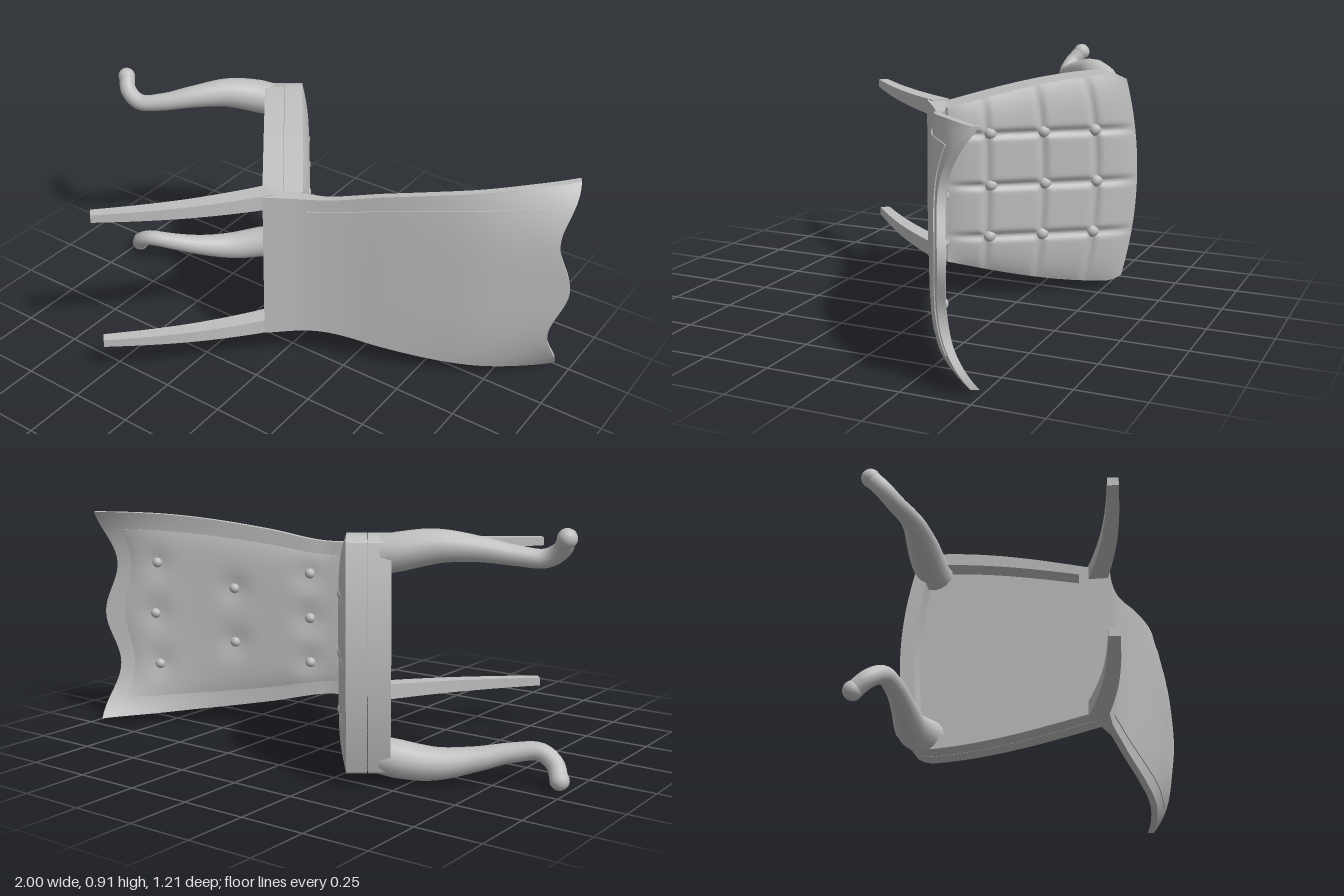
import * as THREE from 'three';

const MID = 0.453; // height of the chair's plane of symmetry (it lies on its side)
const V = (x, y, z) => new THREE.Vector3(x, y, z);
const curveXZ = pts => new THREE.CatmullRomCurve3(pts.map(([x, z]) => V(x, 0, z)));

// Moves a box's vertices by fn(p, q, r): p and q run 0..1, r runs -1..1
function warpedBox(nx, ny, nz, fn) {
  const g = new THREE.BoxGeometry(1, 1, 2, nx, ny, nz);
  const pos = g.attributes.position;
  for (let i = 0; i < pos.count; i++) {
    const v = fn(pos.getX(i) + 0.5, pos.getY(i) + 0.5, pos.getZ(i));
    pos.setXYZ(i, v.x, v.y, v.z);
  }
  g.computeVertexNormals();
  return g;
}

// Tube whose radius follows a list of values along the curve
function taperedTube(curve, radii, n = 40, sides = 16) {
  const g = new THREE.TubeGeometry(curve, n, 1, sides);
  const pos = g.attributes.position;
  for (let i = 0; i < pos.count; i++) {
    const u = Math.floor(i / (sides + 1)) / n;
    const c = curve.getPointAt(u);
    const k = u * (radii.length - 1), j = Math.min(Math.floor(k), radii.length - 2);
    const r = THREE.MathUtils.lerp(radii[j], radii[j + 1], k - j);
    const v = V(pos.getX(i), pos.getY(i), pos.getZ(i)).sub(c).multiplyScalar(r).add(c);
    pos.setXYZ(i, v.x, v.y, v.z);
  }
  return g;
}

// Seat space: t = height, a = 0 rear .. 1 front, v = -1..1 across
const seatHalf = a => (0.31 + 0.11 * Math.sin(a * Math.PI / 2)) *
  (1 - 0.05 * Math.max(0, (a - 0.9) / 0.1) ** 2);
function seatPoint(t, a, v) {
  const s = a * (0.746 - 0.055 * v * v);
  return V(-0.075 - 0.576 * s + 0.817 * t, MID + v * seatHalf(a), 0.09 - 0.817 * s - 0.576 * t);
}

// Back space: a = 0 bottom .. 1 top, depth toward the sitter, v = -1..1 across
const backLine = curveXZ([[-0.03, 0.15], [0.1, 0.055], [0.24, -0.018], [0.38, -0.076], [0.51, -0.13],
  [0.695, -0.213], [0.88, -0.317], [0.998, -0.384]]);
const halfShape = new THREE.CatmullRomCurve3([[0, 0.317], [0.2, 0.308], [0.4, 0.35], [0.6, 0.385],
  [0.8, 0.41], [1, 0.423]].map(([a, h]) => V(a, h, 0)));
const backHalf = a => halfShape.getPoint(a).y;
const backThick = a => 0.028 + 0.045 * Math.max(0, 1 - a / 0.2);
function backPoint(a, depth, v) {
  const e = a * (1 - 0.05 * a ** 6 * Math.sin(Math.PI * Math.abs(v)) ** 2);
  const p = backLine.getPointAt(e), d = backLine.getTangentAt(e);
  const off = depth + 0.105 * e ** 4 * Math.abs(v) ** 3.5;
  return V(p.x + d.z * off, MID - 0.005 * e + v * backHalf(e), p.z - d.x * off);
}

export function createModel() {
  const model = new THREE.Group();
  model.name = 'diningChair';
  const grey = new THREE.MeshStandardMaterial({ color: 0xbfbfbf });
  grey.name = 'plainGrey';
  const add = (name, geometry) => {
    const m = new THREE.Mesh(geometry, grey);
    m.name = name;
    model.add(m);
    return m;
  };
  const addButton = (name, p, r) => add(name, new THREE.SphereGeometry(r, 16, 12)).position.copy(p);
  const mix = THREE.MathUtils.lerp;

  // Seat frame: an open ring of rails under the cushion
  const seatBlock = (name, a0, a1, v0, v1) => add(name, warpedBox(1, 24, 24,
    (p, q, r) => seatPoint(0.078 * p, mix(a0, a1, q), mix(v0, v1, (r + 1) / 2))));
  seatBlock('frontRail', 0.92, 1, -1, 1);
  seatBlock('rearRail', -0.02, 0.06, -1, 1);
  for (const side of [-1, 1]) {
    seatBlock('sideRail', 0, 1, Math.min(side, side * 0.88), Math.max(side, side * 0.88));
  }

  // Tufted seat cushion with channels running through the buttons
  const rows = [0.2, 0.49, 0.77], columns = [-0.205, 0, 0.205];
  const near = (d, w) => Math.exp(-((d / w) ** 2));
  const seatTop = (a, v) => {
    const w = v * seatHalf(a);
    const bulge = 0.03 * (1 - v ** 6) * (1 - (2 * a - 1) ** 6);
    const groove = Math.max(...rows.map(r => near((a - r) * 0.74, 0.014)),
      ...columns.map(c => near(w - c, 0.014)));
    return 0.153 + bulge - 0.5 * bulge * groove;
  };
  add('seatCushion', warpedBox(1, 70, 80, (p, q, r) =>
    seatPoint(mix(0.08, seatTop(q, r), p), mix(-0.03, 1, q), r)));
  for (const a of rows) {
    for (const c of columns) addButton('seatButton', seatPoint(0.16, a, c / seatHalf(a)), 0.026);
  }

  // Curved back with swept-forward upper corners
  add('backFrame', warpedBox(50, 1, 40, (p, q, r) => backPoint(p, q * backThick(p), r)));
  add('rearPanel', warpedBox(40, 1, 30, (p, q, r) =>
    backPoint(mix(0.14, 0.915, p), mix(-0.004, 0.01, q), r * 0.83)));

  // Tufted back cushion, buttons staggered three, two, three
  const backButtons = [];
  [[0.26, [-0.18, 0, 0.18]], [0.53, [-0.11, 0.11]], [0.82, [-0.21, 0, 0.21]]].forEach(
    ([a, ws]) => ws.forEach(w => backButtons.push([a, w])));
  add('backCushion', warpedBox(60, 1, 50, (p, q, r) => {
    const a = mix(0.13, 0.93, p), v = r * 0.83;
    const swell = 0.014 * (1 - r ** 6) * (1 - (2 * p - 1) ** 6);
    let dip = 0;
    for (const [ba, bw] of backButtons) {
      dip = Math.max(dip, near(Math.hypot((a - ba) * 1.15, v * backHalf(a) - bw), 0.06));
    }
    return backPoint(a, mix(0.012, backThick(a) + 0.003 + swell * (1 - 0.85 * dip), q), v);
  }));
  for (const [a, w] of backButtons) {
    addButton('backButton', backPoint(a, backThick(a) + 0.001, w / backHalf(a)), 0.021);
  }

  const rearLine = curveXZ([[-0.04, 0.095], [-0.07, 0.138], [-0.147, 0.238], [-0.24, 0.347], [-0.36, 0.47], [-0.487, 0.588]]);
  const frontRadii = [0.066, 0.068, 0.063, 0.054, 0.045, 0.038, 0.034, 0.033, 0.032];
  for (const side of [-1, 1]) {
    // Square rear leg, raked backward and tapering
    add('rearLeg', warpedBox(24, 1, 1, (p, q, r) => {
      const c = rearLine.getPointAt(p), d = rearLine.getTangentAt(p);
      const off = (q - 0.5) * mix(0.074, 0.04, p);
      const y = MID + 0.007 * p + side * 0.289 + r * mix(0.031, 0.016, p);
      return V(c.x + d.z * off, y, c.z - d.x * off);
    }));

    // Cabriole front leg: x, distance from the middle, z
    const path = new THREE.CatmullRomCurve3([
      [-0.39, 0.345, -0.46], [-0.46, 0.362, -0.425], [-0.57, 0.382, -0.345], [-0.68, 0.37, -0.25],
      [-0.78, 0.348, -0.175], [-0.87, 0.34, -0.13], [-0.93, 0.375, -0.132], [-0.96, 0.416, -0.162],
    ].map(([x, w, z]) => V(x, MID + side * w, z)));
    add('frontLeg', taperedTube(path, frontRadii));
    add('frontFoot', new THREE.SphereGeometry(0.035, 20, 14)).position.set(-0.963, MID + side * 0.418, -0.163);
  }
  return model;
}
